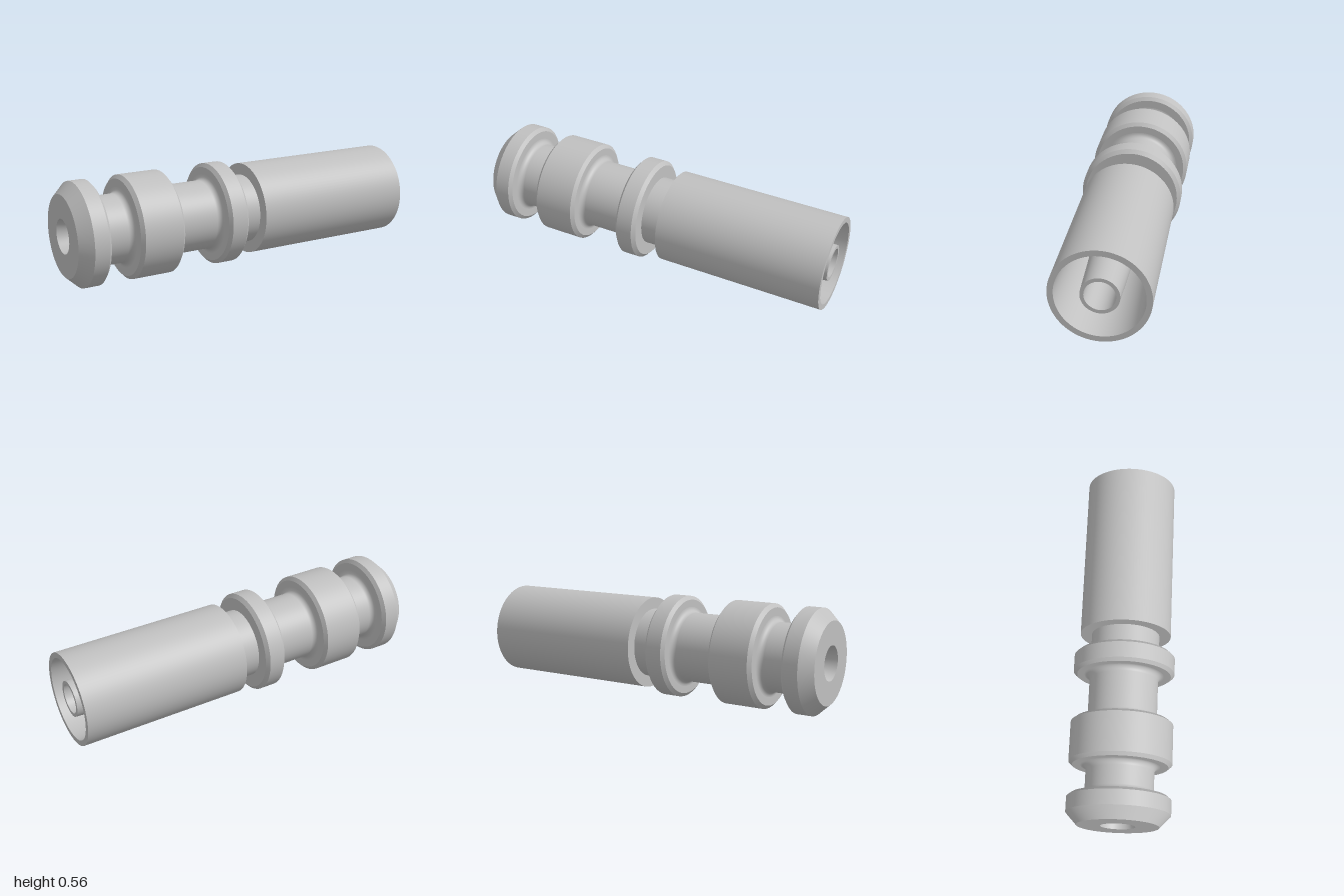
import * as THREE from 'three';
import { mergeGeometries } from 'three/addons/utils/BufferGeometryUtils.js';

const AXIS_Y = 0.28;
const SEGMENTS = 96;

// Turn smooth profile runs of [x, radius] about the x axis; edges between runs stay sharp
function turned(name, runs, material) {
  const parts = runs.map((run) =>
    new THREE.LatheGeometry(run.map(([x, r]) => new THREE.Vector2(r, x)), SEGMENTS));
  const geometry = mergeGeometries(parts);
  geometry.rotateZ(-Math.PI / 2);
  geometry.translate(0, AXIS_Y, 0);
  const mesh = new THREE.Mesh(geometry, material);
  mesh.name = name;
  return mesh;
}

// Straight faces through a list of points, one run each
function straight(...points) {
  return points.slice(1).map((p, i) => [points[i], p]);
}

// Concave quarter round between a wall (x0, r0) and a neck (x1, r1)
function fillet(x0, r0, x1, r1) {
  const run = [];
  for (let i = 0; i <= 8; i++) {
    const a = (i / 8) * Math.PI / 2;
    run.push([x1 + (x0 - x1) * Math.cos(a), r0 + (r1 - r0) * Math.sin(a)]);
  }
  return run;
}

// Neck with a fillet against the collar at each end
function neck(xa, xb, r, f) {
  const left = fillet(xa, r + f, xa + f, r);
  const right = fillet(xb, r + f, xb - f, r).reverse();
  return [[...left, ...right]];
}

export function createModel() {
  const group = new THREE.Group();
  group.name = 'hoseFitting';
  const steel = new THREE.MeshStandardMaterial({ color: 0xc0c0c0 });
  steel.name = 'steel grey';

  // Grooved body: nose collar, wide collar, narrow collar and the necks between
  group.add(turned('groovedBody', [
    ...straight([-1, 0.093], [-1, 0.22], [-0.936, 0.28], [-0.856, 0.28], [-0.84, 0.26], [-0.84, 0.215]),
    ...neck(-0.84, -0.68, 0.185, 0.03),
    ...straight([-0.68, 0.215], [-0.68, 0.26], [-0.662, 0.28], [-0.446, 0.28], [-0.43, 0.26], [-0.43, 0.22]),
    ...neck(-0.43, -0.168, 0.19, 0.03),
    ...straight([-0.168, 0.22], [-0.168, 0.26], [-0.152, 0.28], [-0.064, 0.28], [-0.046, 0.26],
      [-0.046, 0.19], [0.07, 0.19]),
  ], steel));

  // Sleeve with a tapering socket
  group.add(turned('sleeve', straight(
    [0.07, 0.19], [0.07, 0.254], [1, 0.254], [1, 0.224], [0.2, 0.19], [0.2, 0.125],
  ), steel));

  // Tapered inner nipple
  group.add(turned('nipple', straight([0.2, 0.125], [0.99, 0.098], [0.99, 0.079]), steel));

  // Through bore: stepped at the nipple, countersunk at the nose
  group.add(turned('bore', straight(
    [0.99, 0.079], [0.2, 0.079], [0.2, 0.066], [-0.87, 0.066], [-1, 0.093],
  ), steel));

  return group;
}
